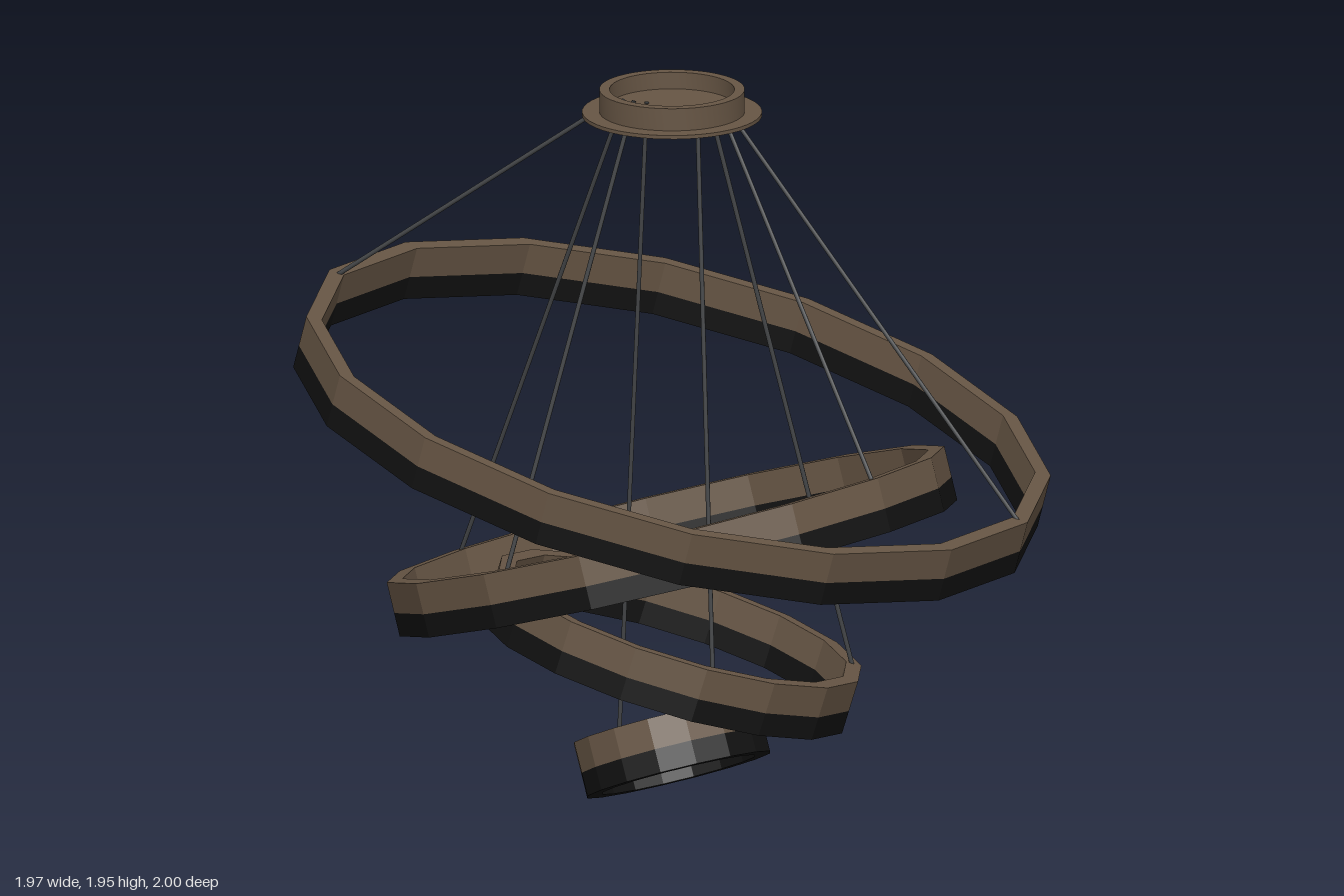
import * as THREE from 'three';
import { toCreasedNormals } from 'three/addons/utils/BufferGeometryUtils.js';

const bronze = new THREE.MeshStandardMaterial({ color: 0x665544 });
const bronzeFlat = new THREE.MeshStandardMaterial({ color: 0x665544, flatShading: true });
const black = new THREE.MeshStandardMaterial({ color: 0x111111, flatShading: true });
const cableGrey = new THREE.MeshStandardMaterial({ color: 0x444648 });

const BAND = 0.145, WALL = 0.042, SIDES = 16;
const deg = THREE.MathUtils.degToRad;

function lathe(points, segments) {
  return new THREE.LatheGeometry(points.map(([r, y]) => new THREE.Vector2(r, y)), segments);
}

function addMesh(parent, name, geometry, material) {
  const mesh = new THREE.Mesh(geometry, material);
  mesh.name = name;
  parent.add(mesh);
  return mesh;
}

// Sixteen-sided band: bronze upper half, black lower half
function makeRing(name, radius) {
  const ring = new THREE.Group();
  ring.name = name;
  const inner = radius - WALL, h = BAND / 2, split = -0.01;
  addMesh(ring, 'ringBand', lathe([[radius, split], [radius, h], [inner, h], [inner, split]], SIDES), bronzeFlat);
  addMesh(ring, 'ringLowerBand', lathe([[inner, split], [inner, -h], [radius, -h], [radius, split]], SIDES), black);
  return ring;
}

// Thin straight cable between two points
function makeCable(parent, from, to) {
  const dir = to.clone().sub(from);
  const cable = addMesh(parent, 'cable', new THREE.CylinderGeometry(0.006, 0.006, dir.length(), 8), cableGrey);
  cable.position.copy(from).addScaledVector(dir, 0.5);
  cable.quaternion.setFromUnitVectors(new THREE.Vector3(0, 1, 0), dir.normalize());
}

export function createModel() {
  const model = new THREE.Group();
  model.name = 'ringChandelier';

  // Ceiling canopy: flanged dish with a recessed top
  const profile = [[0, 1.9], [0.235, 1.9], [0.235, 1.91], [0.19, 1.91],
    [0.19, 1.97], [0.163, 1.97], [0.163, 1.925], [0, 1.925]];
  addMesh(model, 'canopy', toCreasedNormals(lathe(profile, 48), deg(30)), bronze);

  // Tilted rings, each hung on two cables
  const rings = [
    { name: 'largeRing', radius: 1.0, y: 1.07, turn: 0, tilt: -14.5, top: 0.155 },
    { name: 'upperMiddleRing', radius: 0.75, y: 0.745, turn: -19.5, tilt: 17.5, top: 0.135 },
    { name: 'lowerMiddleRing', radius: 0.5, y: 0.465, turn: 28, tilt: -17, top: 0.105 },
    { name: 'smallRing', radius: 0.25, y: 0.185, turn: -34, tilt: 24, top: 0.07 },
  ];
  for (const { name, radius, y, turn, tilt, top } of rings) {
    const ring = makeRing(name, radius);
    ring.position.y = y;
    ring.rotation.set(0, deg(turn), deg(tilt), 'YXZ');
    ring.updateMatrix();
    model.add(ring);
    for (const side of [-1, 1]) {
      const hook = new THREE.Vector3(side * (radius - WALL / 2), BAND / 2 - 0.01, 0).applyMatrix4(ring.matrix);
      makeCable(model, new THREE.Vector3(side * top, 1.928, 0), hook);
    }
  }
  return model;
}
